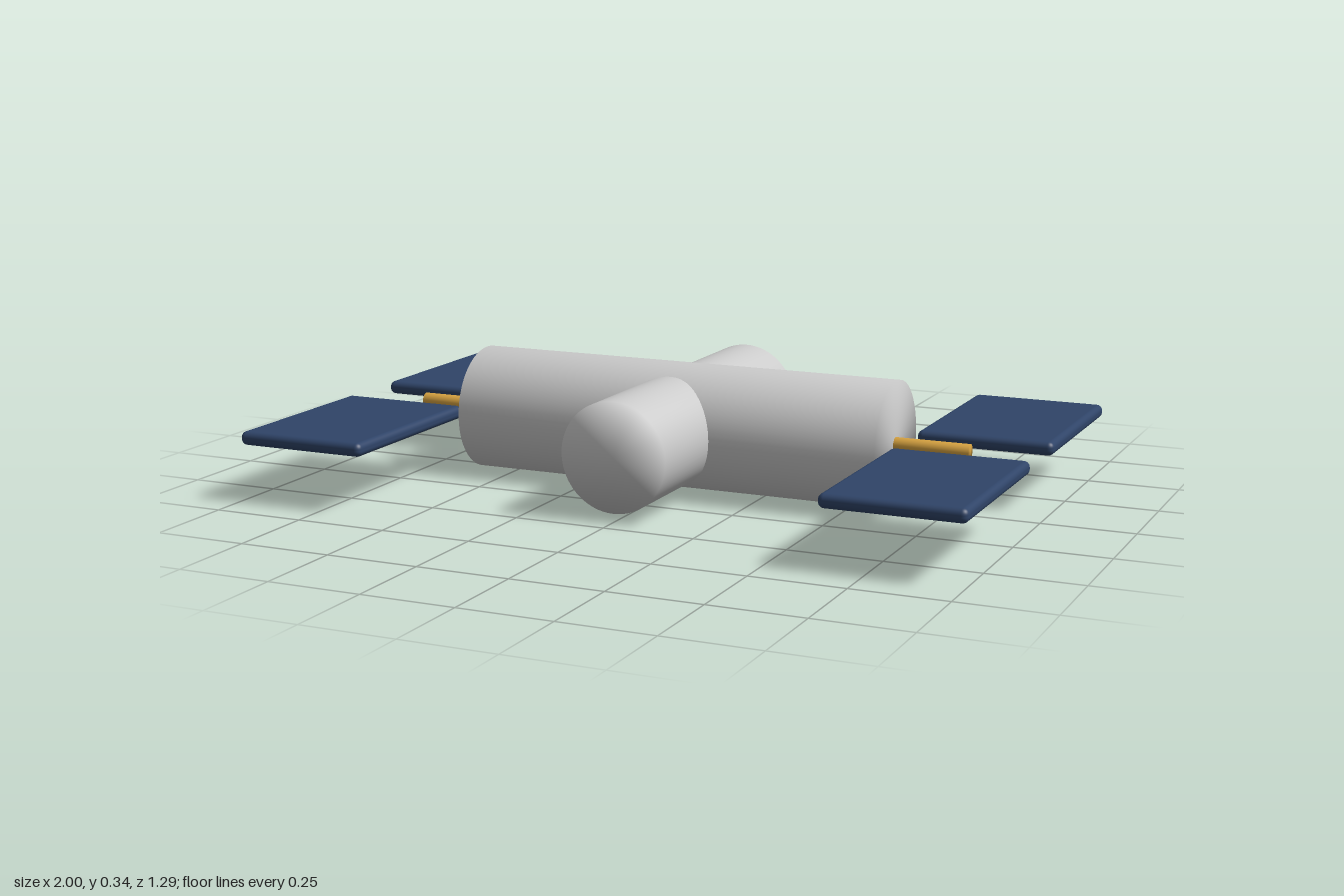
import * as THREE from 'three';
import { mergeVertices } from 'three/addons/utils/BufferGeometryUtils.js';
import { RoundedBoxGeometry } from 'three/addons/geometries/RoundedBoxGeometry.js';

const AXIS_Y = 0.17;

// Closed cylinder whose shading runs smoothly over the rim onto the flat caps
function smoothCylinder(radius, length, sides) {
  const g = new THREE.CylinderGeometry(radius, radius, length, sides);
  g.deleteAttribute('normal');
  g.deleteAttribute('uv');
  const merged = mergeVertices(g, 1e-5);
  merged.computeVertexNormals();
  return merged;
}

export function createModel() {
  const model = new THREE.Group();
  model.name = 'spaceStation';

  const hull = new THREE.MeshStandardMaterial({ color: 0xcccccc });
  const blue = new THREE.MeshStandardMaterial({ color: 0x2f4468 });
  const gold = new THREE.MeshStandardMaterial({ color: 0xd9a441 });

  const add = (name, geometry, material, x = 0, z = 0) => {
    const mesh = new THREE.Mesh(geometry, material);
    mesh.name = name;
    mesh.position.set(x, AXIS_Y, z);
    model.add(mesh);
    return mesh;
  };

  // Main module along x, crossed by a slimmer module along z
  add('mainModule', smoothCylinder(0.17, 1.214, 64), hull).rotation.z = Math.PI / 2;
  add('crossModule', smoothCylinder(0.147, 0.882, 64), hull).rotation.x = Math.PI / 2;

  // A boom at each end, with a pair of solar panels beside it
  const boom = smoothCylinder(0.02, 0.22, 32);
  const panel = new RoundedBoxGeometry(0.37, 0.037, 0.54, 4, 0.016);
  for (const [side, sx] of [['left', 1], ['right', -1]]) {
    add(side + 'Boom', boom, gold, sx * 0.7).rotation.z = Math.PI / 2;
    for (const [end, sz] of [['Front', 1], ['Back', -1]]) {
      add(side + end + 'SolarPanel', panel, blue, sx * 0.815, sz * 0.374);
    }
  }
  return model;
}
